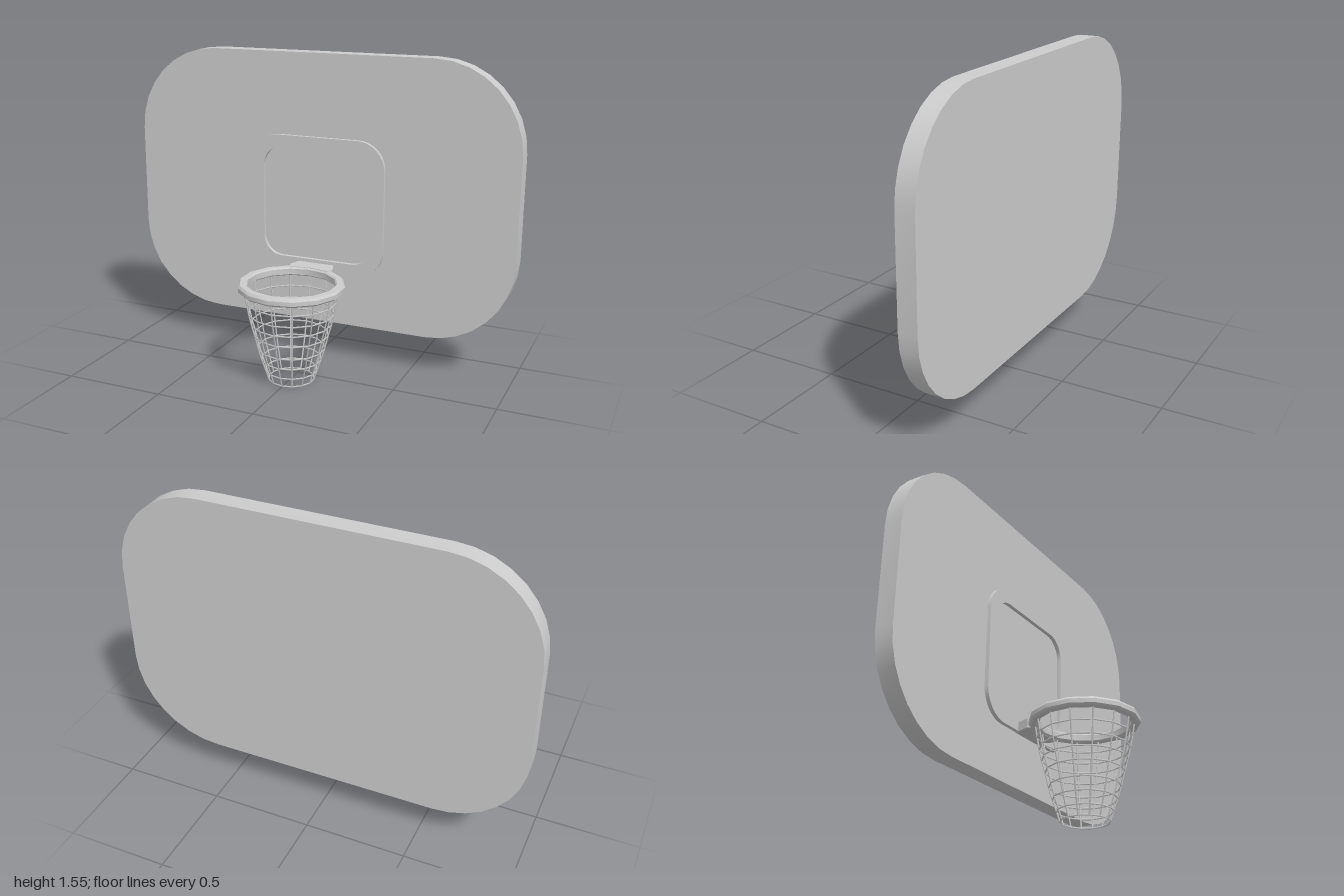
import * as THREE from 'three';
import { toCreasedNormals } from 'three/addons/utils/BufferGeometryUtils.js';

const SIDES = 14;       // hoop and net are fourteen-sided
const HOOP_Z = 0.075;   // hoop centre

// Rounded rectangle outline, usable as a shape or a hole
function roundedRect(target, halfW, y0, y1, r) {
  const q = Math.PI / 2;
  target.absarc(halfW - r, y0 + r, r, -q, 0, false);
  target.absarc(halfW - r, y1 - r, r, 0, q, false);
  target.absarc(-halfW + r, y1 - r, r, q, 2 * q, false);
  target.absarc(-halfW + r, y0 + r, r, 2 * q, 3 * q, false);
  target.closePath();
  return target;
}

function extrude(shape, depth) {
  return new THREE.ExtrudeGeometry(shape, { depth, bevelEnabled: false, curveSegments: 4 });
}

export function createModel() {
  const model = new THREE.Group();
  model.name = 'basketballHoop';
  const grey = new THREE.MeshStandardMaterial({ color: 0xcccccc });
  grey.name = 'light grey';

  function add(name, geometry, parent = model) {
    const mesh = new THREE.Mesh(geometry, grey);
    mesh.name = name;
    parent.add(mesh);
    return mesh;
  }

  // Backboard
  const board = extrude(roundedRect(new THREE.Shape(), 1, 0.19, 1.553, 0.43), 0.092);
  add('backboard', toCreasedNormals(board, 0.6)).position.z = -0.34;

  // Raised target frame on the board
  const frame = roundedRect(new THREE.Shape(), 0.35, 0.46, 1.145, 0.14);
  frame.holes.push(roundedRect(new THREE.Path(), 0.29, 0.52, 1.085, 0.1));
  add('targetFrame', toCreasedNormals(extrude(frame, 0.022), 0.6)).position.z = -0.25;

  // Hoop ring with chamfered edges
  const profile = [
    [0.215, 0.465], [0.222, 0.459], [0.25, 0.459], [0.26, 0.468], [0.26, 0.488],
    [0.25, 0.5], [0.222, 0.5], [0.215, 0.494], [0.215, 0.465],
  ].map(([r, y]) => new THREE.Vector2(r, y));
  const ring = new THREE.LatheGeometry(profile, SIDES);
  add('hoopRing', toCreasedNormals(ring, 0.6)).position.z = HOOP_Z;

  // Bracket joining the ring to the board (outline drawn in x and -z)
  const bracket = new THREE.Shape([
    [-0.09, 0.25], [-0.095, 0.225], [-0.115, 0.165], [-0.1, 0.13], [0, 0.148],
    [0.1, 0.13], [0.115, 0.165], [0.095, 0.225], [0.09, 0.25],
  ].map(([x, z]) => new THREE.Vector2(x, z)));
  const bracketGeo = extrude(bracket, 0.045).rotateX(-Math.PI / 2);
  add('bracket', bracketGeo).position.y = 0.458;

  // Net: [radius, height] of each row of cord, top to bottom
  const rows = [
    [0.228, 0.462], [0.219, 0.405], [0.208, 0.346], [0.196, 0.293], [0.18, 0.235],
    [0.163, 0.165], [0.146, 0.107], [0.127, 0.05], [0.112, 0.004],
  ];
  const net = new THREE.Group();
  net.name = 'net';
  net.position.z = HOOP_Z;
  model.add(net);

  rows.forEach(([r, y]) => {
    const cord = new THREE.TorusGeometry(r, 0.004, 4, SIDES);
    cord.rotateX(Math.PI / 2).rotateY(Math.PI / 2);
    add('netRow', cord, net).position.y = y;
  });

  const path = new THREE.CatmullRomCurve3(rows.map(([r, y]) => new THREE.Vector3(0, y, r)));
  const strand = new THREE.TubeGeometry(path, 16, 0.004, 4);
  for (let i = 0; i < SIDES; i++) {
    add('netStrand', strand, net).rotation.y = (i / SIDES) * Math.PI * 2;
  }

  return model;
}
